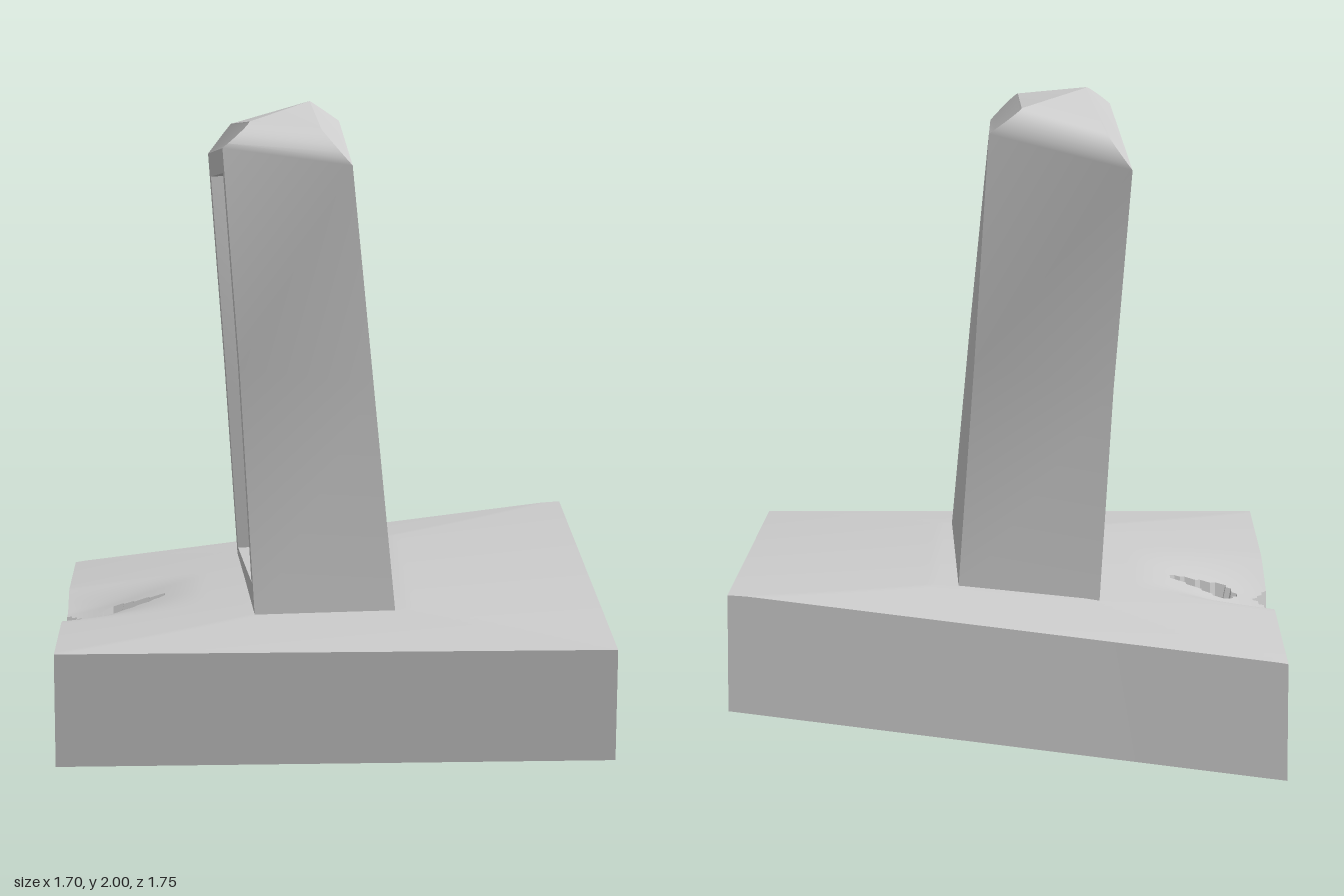
import * as THREE from 'three';
import { toCreasedNormals } from 'three/addons/utils/BufferGeometryUtils.js';

const { lerp, smoothstep, clamp } = THREE.MathUtils;
const material = new THREE.MeshStandardMaterial({ color: 0xcccccc });

// Blend four corner heights across the slab (u: -x to +x, v: back to front)
const bilinear = (u, v, backL, backR, frontL, frontR) =>
  lerp(lerp(backL, backR, u), lerp(frontL, frontR, u), v);

// Height added to or worn out of the slab's top
function relief(x, z) {
  const d = Math.max((Math.abs(x) - 0.24) / 0.61, (Math.abs(z) - 0.5) / 0.36);
  let h = 0.035 * (1 - clamp(d, 0, 1));
  // worn hollow on the -x side
  h -= 0.06 * (1 - smoothstep(x, -0.85, -0.4)) *
    smoothstep(z, -0.3, -0.14) * (1 - smoothstep(z, 0, 0.35));
  // kite-shaped hole and broken notch at the edge
  const halfWidth = Math.min((x + 0.74) / 0.04, (-0.51 - x) / 0.19) * 0.07;
  const notch = (-0.81 - x) / 0.04 * 0.075;
  if (Math.abs(z + 0.01) < Math.max(halfWidth, notch)) h -= 0.08;
  return h;
}

// Twisted slab: a box whose vertices follow the corner heights
function createSlab() {
  const geometry = new THREE.BoxGeometry(1.7, 1, 1.74, 100, 1, 100);
  const p = geometry.attributes.position;
  for (let i = 0; i < p.count; i++) {
    const x = p.getX(i), u = x / 1.7 + 0.5, v = p.getZ(i) / 1.74 + 0.5;
    if (p.getY(i) > 0) {
      const z = lerp(lerp(-0.845, -0.825, u), 0.87, v);
      p.setXYZ(i, x, bilinear(u, v, 0.36, 0.57, 0.42, 0.42) + relief(x, z), z);
    } else {
      p.setXYZ(i, x, bilinear(u, v, 0, 0.215, 0.065, 0.07), lerp(lerp(-0.875, -0.86, u), 0.84, v));
    }
  }
  return toCreasedNormals(geometry, 0.5);
}

const V = (x, y, z) => new THREE.Vector3(x, y, z);
const mix = (a, b, t) => a.clone().lerp(b, t);

// Rings run: -x front, +x front, +x back, -x back
const foot = [V(-0.24, 0.43, 0.505), V(0.2, 0.43, 0.51), V(0.16, 0.46, -0.475), V(-0.28, 0.38, -0.49)];
const waist = [V(-0.285, 1.22, 0.42), V(0.132, 1.17, 0.42), V(0.107, 1.2, -0.402), V(-0.327, 1.12, -0.405)];
const shoulder = [V(-0.335, 1.91, 0.495), V(0.063, 1.855, 0.49), V(0.06, 1.93, -0.48), V(-0.378, 1.82, -0.495)];
const roof = [V(-0.25, 1.98, 0.33), V(-0.03, 1.96, 0.33), V(-0.04, 2.0, -0.41), V(-0.3, 1.925, -0.42)];

function createUpright() {
  const points = [];
  const quad = (a, b, c, d) => points.push(a, b, c, a, c, d);
  const band = (lower, upper, count = lower.length) => {
    for (let i = 0; i < count; i++) {
      const j = (i + 1) % lower.length;
      quad(lower[i], lower[j], upper[j], upper[i]);
    }
  };

  // front, +x and back walls
  band(foot, waist, 3);
  band(waist, shoulder, 3);

  // cap: flat chamfers on the long sides, rounded ends
  let previous = shoulder;
  const steps = 8;
  for (let s = 1; s <= steps; s++) {
    const a = (s / steps) * Math.PI / 2;
    const ring = shoulder.map((p, i) => {
      const q = mix(p, roof[i], Math.sin(a));
      q.z = lerp(p.z, roof[i].z, 1 - Math.cos(a));
      return q;
    });
    band(previous, ring);
    previous = ring;
  }
  quad(...previous);

  // -x face: frame around a deep recess
  const outline = (rings) => [
    rings[0][3], rings[0][0], rings[1][0], rings[2][0], rings[2][3], rings[1][3]];
  const inset = (ring) => {
    const r = ring.slice();
    r[0] = mix(ring[0], ring[3], 0.085);
    r[3] = mix(ring[3], ring[0], 0.085);
    return r;
  };
  const outer = outline([foot, waist, shoulder]);
  const low = foot.map((p, i) => mix(p, waist[i], 0.15));
  const high = shoulder.map((p, i) => mix(p, waist[i], 0.11));
  const rim = outline([low, waist, high].map(inset));
  const deep = rim.map((p) => p.clone().add(V(0.24, 0.01, 0)));
  band(outer, rim);
  band(rim, deep);
  quad(deep[0], deep[1], deep[2], deep[5]);
  quad(deep[5], deep[2], deep[3], deep[4]);

  return toCreasedNormals(new THREE.BufferGeometry().setFromPoints(points), 0.35);
}

export function createModel() {
  const group = new THREE.Group();
  const add = (name, geometry) => {
    const mesh = new THREE.Mesh(geometry, material);
    mesh.name = name;
    group.add(mesh);
  };
  add('baseSlab', createSlab());
  add('upright', createUpright());
  return group;
}
